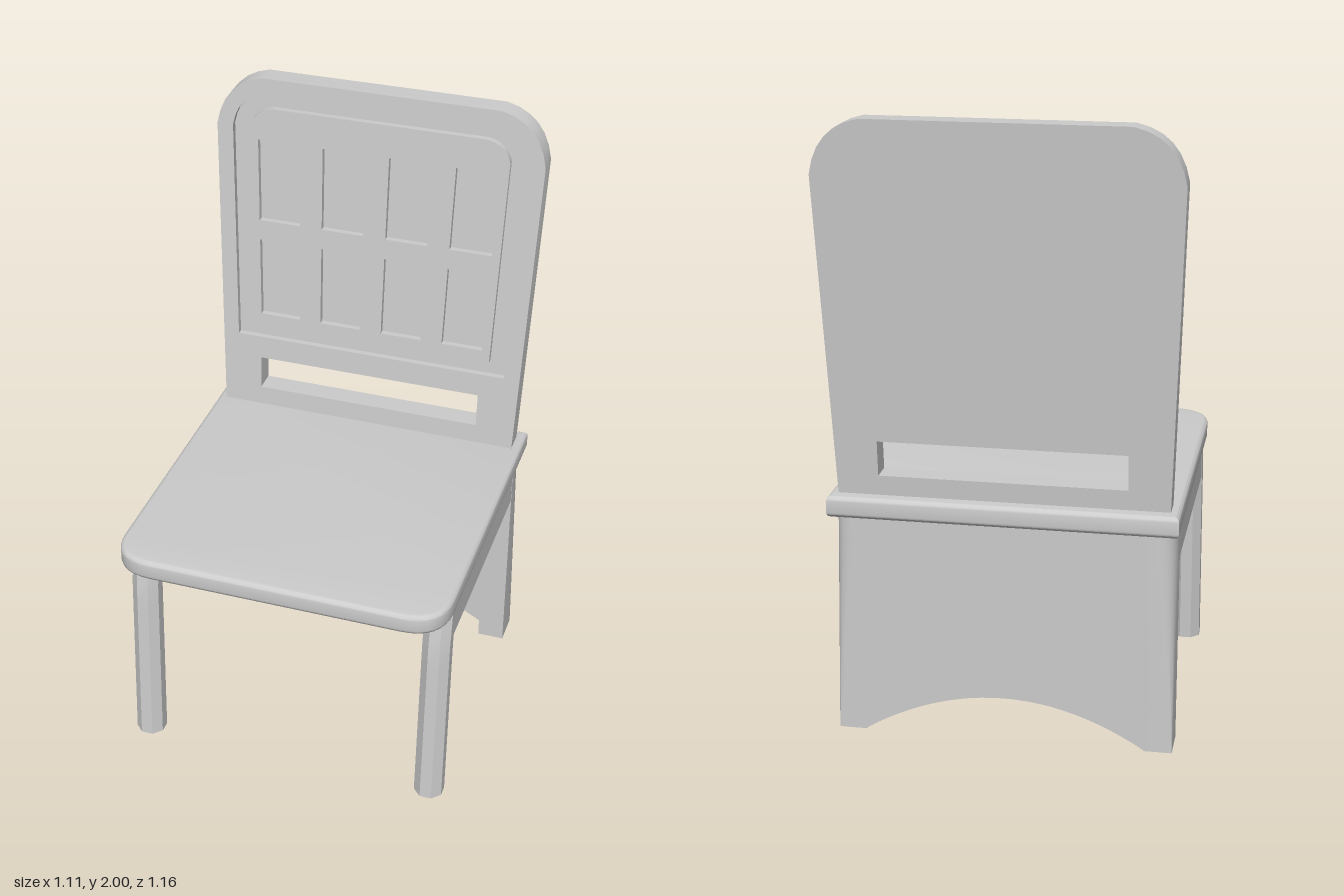
import * as THREE from 'three';
import { toCreasedNormals } from 'three/addons/utils/BufferGeometryUtils.js';

const material = new THREE.MeshStandardMaterial({ color: 0xcccccc });
const SEAT_BOTTOM = 0.74, SEAT_TOP = 0.81;

function addMesh(parent, name, geometry, crease = 0.6) {
  const mesh = new THREE.Mesh(toCreasedNormals(geometry, crease), material);
  mesh.name = name;
  parent.add(mesh);
  return mesh;
}

// Move every vertex of a geometry by a rule
function moveVertices(geometry, rule) {
  const p = geometry.attributes.position;
  const v = new THREE.Vector3();
  for (let i = 0; i < p.count; i++) {
    rule(v.fromBufferAttribute(p, i));
    p.setXYZ(i, v.x, v.y, v.z);
  }
  return geometry;
}

// Tapered outline with softened upper corners
function backOutline(bottomHalf, bottom, sideHalf, shoulder, topHalf, top) {
  const cx = THREE.MathUtils.lerp(topHalf, sideHalf, 0.85);
  const cy = THREE.MathUtils.lerp(shoulder, top, 0.85);
  const s = new THREE.Shape();
  s.moveTo(-bottomHalf, bottom);
  s.lineTo(bottomHalf, bottom);
  s.lineTo(sideHalf, shoulder);
  s.quadraticCurveTo(cx, cy, topHalf, top);
  s.lineTo(-topHalf, top);
  s.quadraticCurveTo(-cx, cy, -sideHalf, shoulder);
  s.closePath();
  return s;
}

function quad(points) {
  return new THREE.Path(points.map(([x, y]) => new THREE.Vector2(x, y)));
}

// Upright layer of the backrest, leaning towards the rear
function leaningLayer(shape, back, front) {
  const g = new THREE.ExtrudeGeometry(shape, { depth: front - back, bevelEnabled: false, curveSegments: 6 });
  g.translate(0, 0, back);
  return moveVertices(g, (v) => { v.z -= 0.09 * (v.y - SEAT_TOP); });
}

function buildBackrest() {
  const group = new THREE.Group();
  group.name = 'backrest';
  const slot = () => quad([[-0.39, 0.875], [-0.39, 0.99], [0.39, 0.99], [0.39, 0.875]]);
  const outer = () => {
    const s = backOutline(0.52, 0.8, 0.555, 1.83, 0.4, 2);
    s.holes.push(slot());
    return s;
  };

  // Rear board, then the front frame around the recess
  addMesh(group, 'backBoard', leaningLayer(outer(), -0.475, -0.42));
  const frame = outer();
  frame.holes.push(backOutline(0.475, 1.07, 0.5, 1.83, 0.39, 1.95));
  addMesh(group, 'backFrame', leaningLayer(frame, -0.42, -0.4));

  // Raised panel with two rows of four sunken windows
  const panel = backOutline(0.42, 1.12, 0.44, 1.83, 0.36, 1.9);
  const taper = (x, y) => [x * (1 + 0.08 * (y - 1.16)), y];
  for (const [y0, y1] of [[1.16, 1.435], [1.505, 1.79]]) {
    for (const x of [-0.322, -0.108, 0.108, 0.322]) {
      const a = x - 0.07, b = x + 0.07;
      panel.holes.push(quad([taper(a, y0), taper(a, y1), taper(b, y1), taper(b, y0)]));
    }
  }
  addMesh(group, 'windowPanel', leaningLayer(panel, -0.42, -0.4));
  return group;
}

// Seat slab: rounded front corners, nearly square rear corners, soft edges
function seatGeometry() {
  const bevel = 0.016, w = 0.55 - bevel, f = -0.58 + bevel, r = 0.52 - bevel, c = 0.12;
  const s = new THREE.Shape();
  s.moveTo(-w, r);
  s.lineTo(-w, f + c);
  s.quadraticCurveTo(-w, f, -w + c, f);
  s.lineTo(w - c, f);
  s.quadraticCurveTo(w, f, w, f + c);
  s.lineTo(w, r);
  s.closePath();
  const g = new THREE.ExtrudeGeometry(s, {
    depth: SEAT_TOP - SEAT_BOTTOM - 2 * bevel, bevelEnabled: true,
    bevelSize: bevel, bevelThickness: bevel, bevelSegments: 4, curveSegments: 8,
  });
  g.rotateX(-Math.PI / 2);
  return g.translate(0, SEAT_BOTTOM + bevel, 0);
}

// Eight-sided front leg, splayed forward and bending in at the top
function frontLegGeometry(side) {
  const g = new THREE.CylinderGeometry(0.0487, 0.0505, SEAT_BOTTOM + 0.01, 8, 10);
  g.rotateY(Math.PI / 8);
  g.translate(side * 0.495, (SEAT_BOTTOM + 0.01) / 2, 0.458);
  return moveVertices(g, (v) => { v.z -= 0.065 * v.y + 0.12 * Math.max(0, v.y - 0.6); });
}

// Rear leg whose outer back corner grows rounder towards the seat
function rearLegGeometry(side) {
  const cornerX = 0.54, cornerZ = 0.475, r = 0.08;
  const s = new THREE.Shape();
  s.moveTo(side * 0.45, 0.36);
  s.lineTo(side * cornerX, 0.36);
  s.lineTo(side * cornerX, cornerZ - r);
  s.quadraticCurveTo(side * cornerX, cornerZ, side * (cornerX - r), cornerZ);
  s.lineTo(side * 0.45, cornerZ);
  s.closePath();
  const g = new THREE.ExtrudeGeometry(s, { depth: SEAT_BOTTOM + 0.005, steps: 8, bevelEnabled: false, curveSegments: 6 });
  g.rotateX(-Math.PI / 2);
  return moveVertices(g, (v) => {
    const ax = Math.abs(v.x);
    if (ax < cornerX - r - 0.001 || v.z > r - cornerZ + 0.001) return;
    const k = 0.04 + 0.96 * Math.min(1, v.y / SEAT_BOTTOM);
    v.x = side * (cornerX + (ax - cornerX) * k);
    v.z = -cornerZ + (v.z + cornerZ) * k;
  });
}

// Solid panel between the rear legs with an arched lower edge
function rearPanelGeometry() {
  const s = new THREE.Shape();
  s.moveTo(-0.455, 0);
  s.quadraticCurveTo(0, 0.29, 0.455, 0);
  s.lineTo(0.455, SEAT_BOTTOM + 0.005);
  s.lineTo(-0.455, SEAT_BOTTOM + 0.005);
  s.closePath();
  const g = new THREE.ExtrudeGeometry(s, { depth: 0.055, bevelEnabled: false, curveSegments: 24 });
  return g.translate(0, 0, -0.475);
}

export function createModel() {
  const chair = new THREE.Group();
  chair.name = 'chair';
  addMesh(chair, 'seat', seatGeometry());
  chair.add(buildBackrest());
  addMesh(chair, 'rearPanel', rearPanelGeometry());
  for (const [side, label] of [[1, 'left'], [-1, 'right']]) {
    addMesh(chair, label + 'FrontLeg', frontLegGeometry(side), 0.4);
    addMesh(chair, label + 'RearLeg', rearLegGeometry(side));
    // Rail under the seat joining front and rear legs
    const rail = new THREE.BoxGeometry(0.035, 0.125, 0.77);
    rail.translate(side * 0.5215, 0.6825, 0.02);
    addMesh(chair, label + 'SideRail', rail);
  }
  return chair;
}
